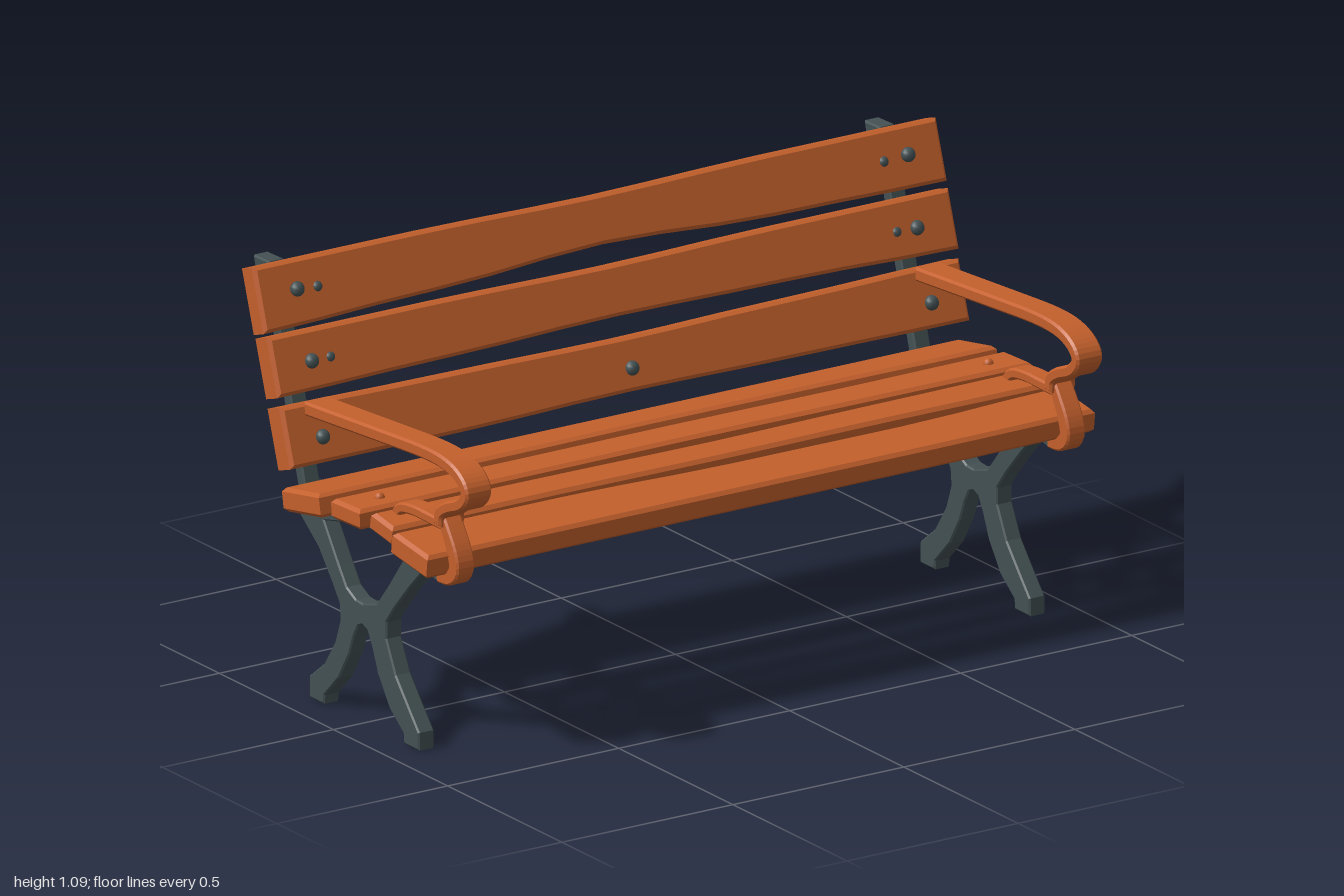
import * as THREE from 'three';

const wood = new THREE.MeshStandardMaterial({ color: 0xc4602c });
wood.name = 'orange wood';
const metal = new THREE.MeshStandardMaterial({ color: 0x435052 });
metal.name = 'grey iron';

function add(parent, name, geometry, material) {
  const mesh = new THREE.Mesh(geometry, material);
  mesh.name = name;
  parent.add(mesh);
  return mesh;
}

// Extrudes a side profile drawn as (z, y) into a slab centred on x = 0
function sideSlab(shape, width, bevel) {
  const depth = width - 2 * bevel;
  const g = new THREE.ExtrudeGeometry(shape, {
    depth, bevelEnabled: true, bevelThickness: bevel, bevelSize: bevel,
    bevelOffset: -bevel, bevelSegments: 1, curveSegments: 8,
  });
  return g.translate(0, 0, -depth / 2).rotateY(-Math.PI / 2);
}

// Closed strip of varying thickness following a smooth (z, y) centre line
function strip(points, thickness, steps) {
  const curve = new THREE.SplineCurve(points.map(p => new THREE.Vector2(...p)));
  const a = [], b = [];
  for (let i = 0; i <= steps; i++) {
    const t = i / steps, p = curve.getPoint(t), d = curve.getTangent(t);
    const h = thickness(t) / 2;
    a.push(new THREE.Vector2(p.x - d.y * h, p.y + d.x * h));
    b.unshift(new THREE.Vector2(p.x + d.y * h, p.y - d.x * h));
  }
  return new THREE.Shape([...a, ...b]);
}

// Worn plank: wavy long edges, chamfered all round
function plank(x0, x1, height, thick, upper, lower) {
  const pts = [], n = 12, bevel = 0.009;
  const wave = (list, t) => {
    const f = t * (list.length - 1), i = Math.min(Math.floor(f), list.length - 2);
    return THREE.MathUtils.lerp(list[i], list[i + 1], THREE.MathUtils.smoothstep(f - i, 0, 1));
  };
  for (let i = 0; i <= n; i++) {
    pts.push(new THREE.Vector2(THREE.MathUtils.lerp(x0, x1, i / n), -height / 2 + wave(lower, i / n)));
  }
  for (let i = n; i >= 0; i--) {
    pts.push(new THREE.Vector2(THREE.MathUtils.lerp(x0, x1, i / n), height / 2 + wave(upper, i / n)));
  }
  const depth = thick - 2 * bevel;
  return new THREE.ExtrudeGeometry(new THREE.Shape(pts), {
    depth, bevelEnabled: true, bevelThickness: bevel, bevelSize: bevel, bevelOffset: -bevel, bevelSegments: 1,
  }).translate(0, 0, -depth / 2);
}

// Iron end frame: back post, seat rail and crossed legs in one casting
function frameShape() {
  const v = list => list.map(p => new THREE.Vector2(...p));
  const shape = new THREE.Shape(v([
    [-0.41, 1.07], [-0.478, 1.068], [-0.463, 1.01], [-0.426, 1.004], [-0.277, 0.512], [-0.291, 0.506],
    [-0.288, 0.469], [-0.193, 0.397], [-0.135, 0.325], [-0.102, 0.28], [-0.098, 0.239], [-0.121, 0.176],
    [-0.17, 0.104], [-0.233, 0.055], [-0.233, 0], [-0.17, 0], [-0.167, 0.023], [-0.104, 0.086],
    [-0.06, 0.158], [-0.04, 0.21], [-0.02, 0.245], [0, 0.253], [0.02, 0.245], [0.04, 0.21],
    [0.066, 0.147], [0.118, 0.072], [0.178, 0.026], [0.181, 0], [0.247, 0], [0.247, 0.046],
    [0.207, 0.092], [0.145, 0.165], [0.104, 0.247], [0.104, 0.29], [0.138, 0.334], [0.204, 0.406],
    [0.268, 0.469], [0.335, 0.457], [0.39, 0.473], [0.385, 0.49], [0.219, 0.512], [0.11, 0.535],
    [-0.026, 0.53], [-0.23, 0.492], [-0.243, 0.512],
  ]));
  shape.holes.push(new THREE.Path(v([
    [0.19, 0.489], [0.11, 0.508], [0.03, 0.508], [-0.08, 0.494], [-0.17, 0.473], [-0.104, 0.377],
    [-0.07, 0.33], [-0.03, 0.31], [0.0, 0.308], [0.06, 0.325], [0.104, 0.377],
  ])));
  return shape;
}

function createBolt(parent, x, y, z, tilt, radius, material, name) {
  const g = new THREE.SphereGeometry(radius, 10, 8);
  const bolt = add(parent, name, g, material);
  bolt.position.set(x, y, z);
  bolt.rotation.x = tilt;
  bolt.scale.z = 0.85;
}

export function createModel() {
  const bench = new THREE.Group();
  bench.name = 'bench';

  // Backrest planks, leaning backwards
  const lean = -0.32;
  const back = [
    ['topBackPlank', -1, 1, 0.165, 0.062, 1.0, -0.354, [0, 0, -0.007, 0, 0], [0, 0.014, 0.037, 0.014, 0.008]],
    ['middleBackPlank', -0.995, 0.998, 0.15, 0.068, 0.841, -0.302, [0, 0, -0.006, 0, 0], [0, 0.008, 0.018, 0.012, 0]],
    ['lowerBackPlank', -0.992, 0.995, 0.153, 0.07, 0.673, -0.252, [0, -0.006, -0.012, -0.006, 0], [0, 0, 0.008, 0.003, 0]],
  ];
  for (const [name, x0, x1, h, t, y, z, up, low] of back) {
    const m = add(bench, name, plank(x0, x1, h, t, up, low), wood);
    m.position.set(0, y, z);
    m.rotation.x = lean;
  }

  // Seat planks, following the curved rail
  const seat = [
    ['frontSeatPlank', -0.98, 0.975, 0.155, 0.062, 0.53, 0.302, 0.13, [0, 0, -0.018, -0.02, 0], [0, 0, 0, 0, 0.004]],
    ['secondSeatPlank', -0.97, 0.972, 0.095, 0.05, 0.557, 0.164, 0.15, [0, -0.004, -0.01, -0.004, 0], [0, 0.003, 0, 0.003, 0]],
    ['thirdSeatPlank', -0.988, 0.982, 0.125, 0.052, 0.561, 0.035, -0.04, [0, -0.003, 0, -0.005, 0], [0, 0.006, 0.01, 0.004, 0]],
    ['rearSeatPlank', -0.992, 0.99, 0.165, 0.06, 0.537, -0.153, -0.18, [0, 0, 0, 0, 0], [0, 0.004, 0.014, 0.01, 0]],
  ];
  for (const [name, x0, x1, w, t, y, z, tilt, up, low] of seat) {
    const m = add(bench, name, plank(x0, x1, w, t, up, low), wood);
    m.position.set(0, y, z);
    m.rotation.x = -Math.PI / 2 + tilt;
  }

  // Profiles shared by both ends
  const frame = sideSlab(frameShape(), 0.046, 0.004);
  const armPath = [[-0.235, 0.745], [-0.1, 0.755], [0.1, 0.77], [0.28, 0.782], [0.38, 0.778], [0.44, 0.757],
    [0.464, 0.725], [0.44, 0.692], [0.385, 0.668], [0.35, 0.643], [0.345, 0.612]];
  const arm = sideSlab(strip(armPath, t => 0.036 - 0.006 * t, 44), 0.076, 0.006);
  const curlPath = [[0.345, 0.63], [0.367, 0.595], [0.392, 0.55], [0.4, 0.51], [0.375, 0.482], [0.325, 0.474]];
  const curl = sideSlab(strip(curlPath, t => 0.03 + 0.012 * Math.sin(Math.PI * t), 18), 0.052, 0.005);
  const bracePath = [[0.35, 0.611], [0.29, 0.612], [0.22, 0.612], [0.165, 0.602], [0.137, 0.575]];
  const brace = sideSlab(strip(bracePath, () => 0.027, 16), 0.052, 0.005);

  for (const s of [1, -1]) {
    const end = new THREE.Group();
    end.name = s > 0 ? 'leftEnd' : 'rightEnd';
    bench.add(end);
    const parts = [['ironFrame', frame, metal], ['armrest', arm, wood], ['armFrontCurl', curl, wood], ['armBrace', brace, wood]];
    for (const [name, g, mat] of parts) add(end, name, g, mat).position.x = s * 0.893;

    // Bolt heads on the back and seat
    createBolt(end, s * 0.893, 1.022, -0.318, lean, 0.019, metal, 'topBolt');
    createBolt(end, s * 0.885, 0.85, -0.267, lean, 0.019, metal, 'middleBolt');
    createBolt(end, s * 0.89, 0.672, -0.211, lean, 0.019, metal, 'lowerBolt');
    createBolt(end, s * 0.828, 1.013, -0.33, lean, 0.014, metal, 'topSmallBolt');
    createBolt(end, s * 0.828, 0.848, -0.274, lean, 0.014, metal, 'middleSmallBolt');
    createBolt(end, s * 0.89, 0.587, 0.037, 0, 0.014, wood, 'seatPeg');
  }
  createBolt(bench, 0.017, 0.672, -0.215, lean, 0.019, metal, 'centreBolt');

  return bench;
}
